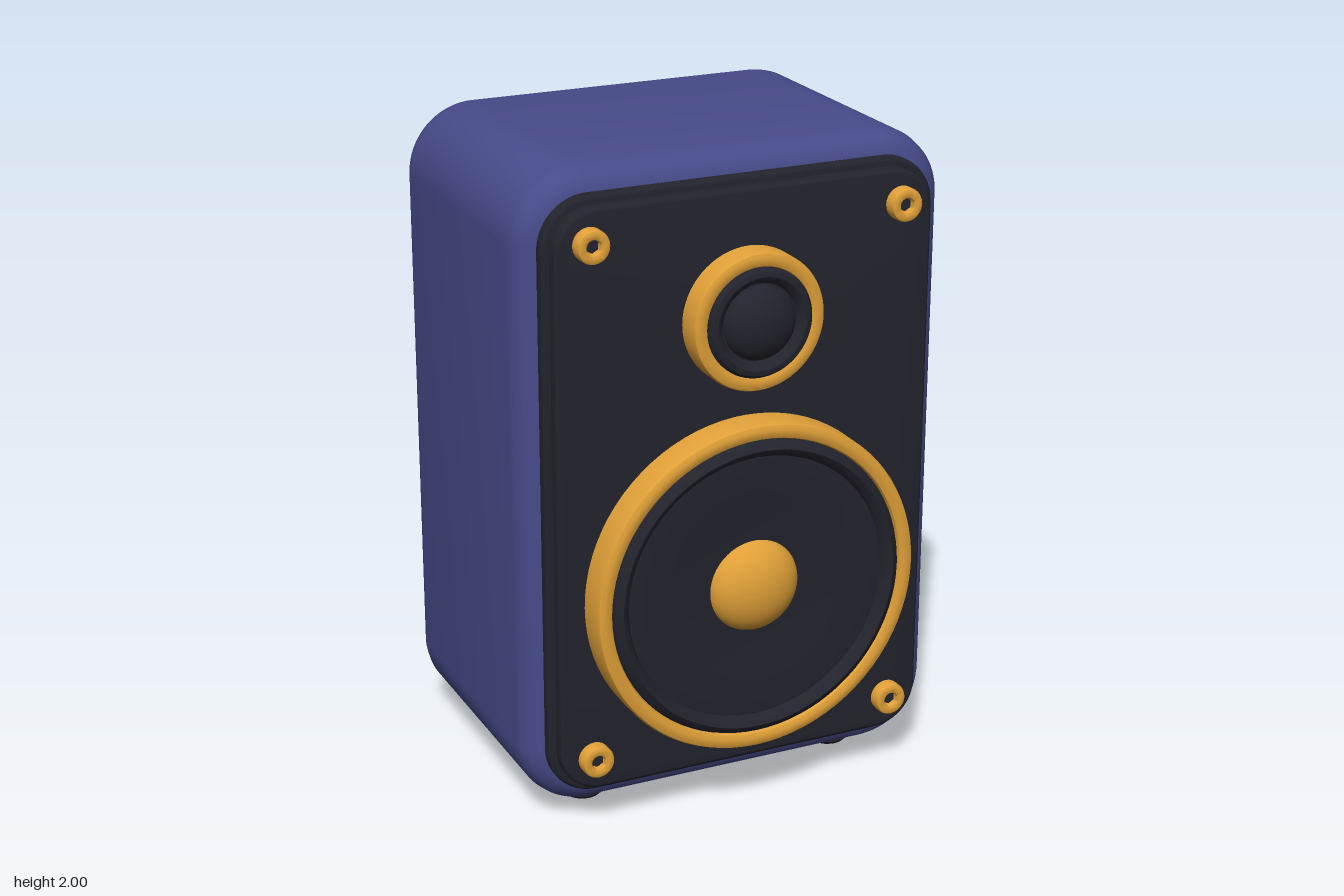
import * as THREE from 'three';
import { toCreasedNormals } from 'three/addons/utils/BufferGeometryUtils.js';

const mat = (name, color) => {
  const m = new THREE.MeshStandardMaterial({ color });
  m.name = name;
  return m;
};

// Rounded rectangle outline centred on the origin
function roundedRect(w, h, r) {
  const s = new THREE.Shape();
  const x = w / 2, y = h / 2;
  s.moveTo(-x + r, -y);
  s.lineTo(x - r, -y);
  s.absarc(x - r, -y + r, r, -Math.PI / 2, 0);
  s.lineTo(x, y - r);
  s.absarc(x - r, y - r, r, 0, Math.PI / 2);
  s.lineTo(-x + r, y);
  s.absarc(-x + r, y - r, r, Math.PI / 2, Math.PI);
  s.lineTo(-x, -y + r);
  s.absarc(-x + r, -y + r, r, Math.PI, Math.PI * 1.5);
  return s;
}

// Rounded slab spanning y0..y1 and z0..z1, with bevelled front and back edges
function slab(w, y0, y1, z0, z1, r, bevel, segments = 3) {
  const g = new THREE.ExtrudeGeometry(
    roundedRect(w - 2 * bevel, y1 - y0 - 2 * bevel, Math.max(r - bevel, 0.005)),
    {
      depth: z1 - z0 - 2 * bevel, curveSegments: 10,
      bevelEnabled: true, bevelThickness: bevel, bevelSize: bevel, bevelSegments: segments,
    });
  g.translate(0, (y0 + y1) / 2, z0 + bevel);
  return toCreasedNormals(g, 0.65);
}

// Turned part about the z axis; points are [radius, z]
function turned(points, segments = 64) {
  const g = new THREE.LatheGeometry(points.map(([r, z]) => new THREE.Vector2(r, z)), segments);
  g.rotateX(Math.PI / 2);
  return toCreasedNormals(g, 0.65);
}

// Ring profile with softened front edges
const ringProfile = (ri, ro, z0, z1, b) => [
  [ro, z0], [ro, z1 - b], [ro - b * 0.3, z1 - b * 0.3], [ro - b, z1],
  [ri + b, z1], [ri + b * 0.3, z1 - b * 0.3], [ri, z1 - b], [ri, z0],
];

// Shallow dome profile, from rim to tip
function domeProfile(r, z0, z1) {
  const pts = [];
  for (let i = 0; i <= 10; i++) {
    const a = (i / 10) * Math.PI / 2;
    pts.push([i === 10 ? 0 : r * Math.cos(a), z0 + (z1 - z0) * Math.sin(a)]);
  }
  return pts;
}

export function createModel() {
  const blue = mat('cabinet blue', 0x474b8a);
  const dark = mat('charcoal', 0x23232d);
  const gold = mat('brass', 0xe0a038);
  const model = new THREE.Group();
  model.name = 'speaker';

  const add = (name, geometry, material, x = 0, y = 0, z = 0, parent = model) => {
    const m = new THREE.Mesh(geometry, material);
    m.name = name;
    m.position.set(x, y, z);
    parent.add(m);
    return m;
  };

  // Cabinet and panels
  add('cabinet', slab(1.34, 0.05, 2, -0.42, 0.5, 0.21, 0.08, 4), blue);
  add('frontTrim', slab(1.22, 0.115, 1.935, 0.45, 0.53, 0.15, 0.012), dark);
  add('frontBaffle', slab(1.174, 0.14, 1.91, 0.5, 0.57, 0.13, 0.012), dark);
  add('backPanel', slab(1.18, 0.14, 1.91, -0.465, -0.38, 0.13, 0.012), dark);

  // Woofer
  const woofer = new THREE.Group();
  woofer.name = 'woofer';
  woofer.position.y = 0.73;
  model.add(woofer);
  add('wooferRing', turned(ringProfile(0.46, 0.51, 0.56, 0.668, 0.018), 80), gold, 0, 0, 0, woofer);
  add('wooferSurround', turned([
    [0.462, 0.56], [0.462, 0.65], [0.455, 0.665], [0.435, 0.677], [0.418, 0.667], [0.407, 0.648], [0.405, 0.63],
  ], 80), dark, 0, 0, 0, woofer);
  add('wooferCone', turned([[0.408, 0.648], [0.395, 0.65], [0.27, 0.637], [0, 0.62]], 80), dark, 0, 0, 0, woofer);
  add('wooferDome', turned(domeProfile(0.143, 0.615, 0.7), 48), gold, 0, 0, 0, woofer);

  // Tweeter
  const tweeter = new THREE.Group();
  tweeter.name = 'tweeter';
  tweeter.position.y = 1.54;
  model.add(tweeter);
  add('tweeterRing', turned(ringProfile(0.16, 0.205, 0.56, 0.65, 0.014)), gold, 0, 0, 0, tweeter);
  add('tweeterSurround', turned([
    [0.162, 0.56], [0.162, 0.65], [0.153, 0.661], [0.138, 0.664], [0.122, 0.655], [0.115, 0.64], [0, 0.64],
  ]), dark, 0, 0, 0, tweeter);
  add('tweeterDome', turned(domeProfile(0.112, 0.635, 0.7), 48), dark, 0, 0, 0, tweeter);

  // Corner screws with dark sockets
  const screw = turned(ringProfile(0.02, 0.05, 0.565, 0.61, 0.01), 24);
  const socket = turned([[0.021, 0.565], [0.021, 0.59], [0, 0.59]], 6);
  for (const x of [-0.485, 0.485]) {
    for (const y of [0.245, 1.81]) {
      add('cornerScrew', screw, gold, x, y);
      add('screwSocket', socket, dark, x, y);
    }
  }

  // Wall bracket on the back
  add('bracketNeck', slab(0.234, 0.72, 1.33, -0.56, -0.45, 0.03, 0.01), dark);
  add('bracketPlate', slab(0.32, 0.65, 1.4, -0.675, -0.538, 0.03, 0.015), dark);
  const bolt = turned([[0.04, 0], [0.04, 0.038], [0.034, 0.045], [0, 0.045]], 20);
  bolt.rotateY(Math.PI);
  for (const y of [0.78, 1.27]) add('bracketBolt', bolt, gold, 0, y, -0.652);

  // Raised keyhole: round lower end with a narrow slot above
  const key = new THREE.Shape();
  const a = Math.asin(0.016 / 0.036);
  key.absarc(0, 0, 0.036, Math.PI / 2 + a, Math.PI * 2.5 - a);
  key.absarc(0, 0.098, 0.016, 0, Math.PI);
  const keyGeo = new THREE.ExtrudeGeometry(key, { depth: 0.03, bevelEnabled: false, curveSegments: 16 });
  add('keyhole', toCreasedNormals(keyGeo, 0.65), dark, 0, 0.996, -0.697);

  // Feet
  const foot = turned([[0, 0], [0.055, 0], [0.067, 0.012], [0.067, 0.07]], 32);
  foot.rotateX(-Math.PI / 2);
  for (const x of [-0.42, 0.42]) {
    for (const z of [-0.237, 0.322]) add('foot', foot, dark, x, 0, z);
  }
  return model;
}
